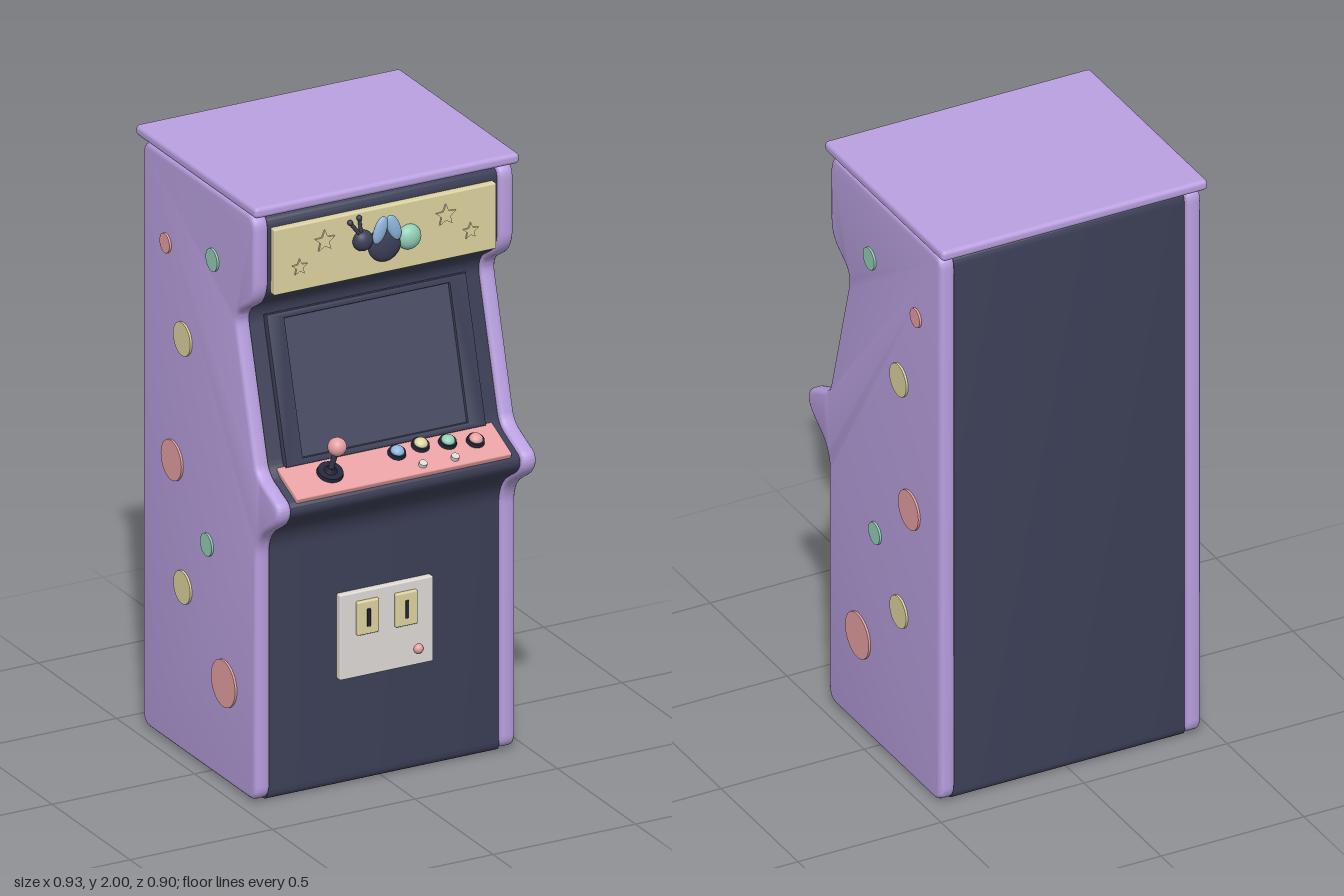
import * as THREE from 'three';
import { toCreasedNormals } from 'three/addons/utils/BufferGeometryUtils.js';
import { RoundedBoxGeometry } from 'three/addons/geometries/RoundedBoxGeometry.js';

const COLORS = {
  purple: 0xb9a0e0, dark: 0x3d4058, screen: 0x484b64, black: 0x24263a, pink: 0xe6a0a2,
  yellow: 0xddd3a0, green: 0x92cfb5, blue: 0x8fb4dc, cream: 0xdedad6,
};
const mats = {};
for (const k in COLORS) mats[k] = new THREE.MeshStandardMaterial({ color: COLORS[k] });

function add(parent, name, geo, color, x = 0, y = 0, z = 0) {
  const m = new THREE.Mesh(geo, mats[color]);
  m.name = name;
  m.position.set(x, y, z);
  parent.add(m);
  return m;
}

const box = (w, h, d, r = 0.005) => new RoundedBoxGeometry(w, h, d, 2, r);
const ball = (r) => new THREE.SphereGeometry(r, 28, 18);
const cyl = (r, h, r2 = r) => new THREE.CylinderGeometry(r2, r, h, 32);

// Closed outline from [x, y, corner radius] points, with each corner rounded
function roundedShape(points) {
  const s = new THREE.Shape();
  const n = points.length;
  points.forEach(([x, y, r], i) => {
    const p = new THREE.Vector2(x, y);
    const toward = (q) => {
      const d = new THREE.Vector2(q[0] - x, q[1] - y);
      return d.setLength(Math.min(r, d.length() * 0.49)).add(p);
    };
    const a = toward(points[(i + n - 1) % n]), b = toward(points[(i + 1) % n]);
    if (i === 0) s.moveTo(a.x, a.y); else s.lineTo(a.x, a.y);
    s.quadraticCurveTo(x, y, b.x, b.y);
  });
  s.closePath();
  return s;
}

// Cabinet side outline as (z, y)
const cabinetShape = (bottom) => roundedShape([
  [-0.415, bottom, 0.05], [0.312, bottom, 0.05], [0.312, 0.895, 0.07],
  [0.448, 0.985, 0.05], [0.452, 1.045, 0.03], [0.312, 1.105, 0.035],
  [0.175, 1.595, 0.05], [0.302, 1.675, 0.06], [0.302, 1.96, 0.05], [-0.415, 1.96, 0.05],
]);

// Extrude the outline across x, centred; the bevel stays inside the outline
function slab(shape, width, bevel, inset) {
  const g = new THREE.ExtrudeGeometry(shape, {
    depth: width - 2 * bevel, bevelThickness: bevel, bevelSize: bevel,
    bevelOffset: -bevel - inset, bevelSegments: 3, curveSegments: 10,
  });
  g.translate(0, 0, bevel - width / 2).translate(0, 0, 0).rotateY(-Math.PI / 2);
  g.computeBoundingBox();
  g.translate(-(g.boundingBox.min.x + g.boundingBox.max.x) / 2, 0, 0);
  return toCreasedNormals(g, 0.6);
}

function rectShape(w, h) {
  return new THREE.Shape([[-w, -h], [w, -h], [w, h], [-w, h]].map(([x, y]) => new THREE.Vector2(x / 2, y / 2)));
}

function starGeometry(r) {
  const pts = [];
  for (let i = 0; i < 10; i++) {
    const a = Math.PI / 2 + i * Math.PI / 5, q = i % 2 ? r * 0.45 : r;
    pts.push(new THREE.Vector2(q * Math.cos(a), q * Math.sin(a)));
  }
  return new THREE.ExtrudeGeometry(new THREE.Shape(pts), { depth: 0.008, bevelEnabled: false });
}

function buildMarquee(root) {
  const g = new THREE.Group();
  g.name = 'marquee';
  g.position.set(0, 1.8, 0.3);
  root.add(g);
  add(g, 'marqueePlate', box(0.78, 0.22, 0.03), 'yellow', 0, 0, -0.004);
  for (const [x, y, r] of [[-0.215, 0.04, 0.037], [-0.303, -0.03, 0.028], [0.21, 0.04, 0.037], [0.297, -0.03, 0.028]])
    add(g, 'star', starGeometry(r), 'yellow', x, y, 0.009);

  // Insect ornament
  add(g, 'insectBody', ball(1), 'dark', -0.005, -0.01, 0.014).scale.set(0.058, 0.06, 0.024);
  add(g, 'insectTail', ball(1), 'green', 0.08, -0.005, 0.014).scale.set(0.041, 0.041, 0.03);
  add(g, 'insectHead', ball(1), 'dark', -0.082, 0.015, 0.014).scale.set(0.034, 0.034, 0.028);
  for (const s of [-1, 1]) {
    const wing = add(g, 'insectWing', ball(1), 'blue', -0.005 + s * 0.024, 0.044, 0.03);
    wing.scale.set(0.022, 0.046, 0.012);
    wing.rotation.z = s * 0.35;
  }
  for (const [x, y] of [[-0.128, 0.084], [-0.096, 0.094]]) {
    const path = new THREE.LineCurve3(new THREE.Vector3(-0.088, 0.03, 0.018), new THREE.Vector3(x, y, 0.018));
    add(g, 'antenna', new THREE.TubeGeometry(path, 1, 0.006, 8), 'dark');
    add(g, 'antennaTip', ball(0.009), 'dark', x, y, 0.018);
  }
}

function buildScreen(root) {
  const g = new THREE.Group();
  g.name = 'monitor';
  g.position.set(0, 1.34, 0.247);
  g.rotation.x = -0.272;
  root.add(g);
  const frame = rectShape(0.69, 0.47);
  frame.holes.push(rectShape(0.59, 0.45));
  const bezel = new THREE.ExtrudeGeometry(frame, {
    depth: 0.02, bevelThickness: 0.006, bevelSize: 0.006, bevelSegments: 2,
  });
  add(g, 'screenBezel', toCreasedNormals(bezel, 0.6), 'dark', 0, 0, -0.019);
  add(g, 'screen', box(0.59, 0.45, 0.02, 0.004), 'screen', 0, 0, -0.014);
}

function buildControls(root) {
  const g = new THREE.Group();
  g.name = 'controlPanel';
  g.position.set(0, 1.083, 0.37);
  g.rotation.x = 0.415;
  root.add(g);
  add(g, 'controlDeck', box(0.755, 0.024, 0.145), 'pink', 0, -0.012, 0);

  // Joystick
  add(g, 'joystickBase', cyl(0.043, 0.014, 0.04), 'black', -0.225, 0.005, -0.005);
  add(g, 'joystickCollar', cyl(0.022, 0.016, 0.012), 'black', -0.225, 0.018, -0.005);
  add(g, 'joystickShaft', cyl(0.009, 0.11), 'dark', -0.225, 0.055, -0.005);
  add(g, 'joystickKnob', ball(0.03), 'pink', -0.225, 0.115, -0.005);

  // Play buttons
  for (const [x, z, c] of [[0.02, -0.026, 'blue'], [0.108, -0.037, 'yellow'], [0.198, -0.026, 'green'], [0.287, -0.008, 'pink']]) {
    add(g, 'buttonRing', cyl(0.03, 0.014, 0.027), 'black', x, 0.005, z);
    add(g, 'buttonCap', ball(0.022), c, x, 0.012, z).scale.y = 0.7;
  }
  for (const x of [0.077, 0.19]) add(g, 'startButton', cyl(0.013, 0.014), 'cream', x, 0.005, 0.042);
}

function buildCoinDoor(root) {
  const g = new THREE.Group();
  g.name = 'coinDoor';
  g.position.set(0, 0.5, 0.3);
  root.add(g);
  add(g, 'doorPlate', box(0.328, 0.285, 0.034), 'cream', 0, 0.003, 0.002);
  for (const x of [-0.07, 0.065]) {
    add(g, 'coinPlate', box(0.077, 0.112, 0.02), 'yellow', x, 0.059, 0.022);
    add(g, 'coinSlot', box(0.012, 0.06, 0.008, 0.002), 'black', x, 0.059, 0.031);
  }
  add(g, 'doorKnob', ball(0.016), 'pink', 0.11, -0.086, 0.02);
}

export function createModel() {
  const root = new THREE.Group();
  root.name = 'arcadeCabinet';

  // Dark core, two side panels and the lid
  add(root, 'cabinetCore', slab(cabinetShape(-0.014), 0.815, 0.002, 0.014), 'dark');
  const dots = [
    [0.04, 1.725, 0.037, 'green'], [-0.26, 1.67, 0.032, 'pink'], [-0.15, 1.39, 0.055, 'yellow'],
    [-0.218, 0.96, 0.066, 'pink'], [0.005, 0.76, 0.037, 'green'], [-0.15, 0.56, 0.054, 'yellow'],
    [0.115, 0.337, 0.077, 'pink'],
  ];
  const panel = slab(cabinetShape(0.008), 0.052, 0.014, 0);
  for (const s of [-1, 1]) {
    add(root, s > 0 ? 'leftSidePanel' : 'rightSidePanel', panel, 'purple', s * 0.43);
    for (const [z, y, r, c] of dots)
      add(root, 'sideDot', cyl(r, 0.014), c, s * 0.456, y, z).rotation.z = Math.PI / 2;
  }
  add(root, 'lid', new RoundedBoxGeometry(0.93, 0.036, 0.772, 3, 0.014), 'purple', 0, 1.982, -0.06);

  buildMarquee(root);
  buildScreen(root);
  buildControls(root);
  buildCoinDoor(root);
  return root;
}
